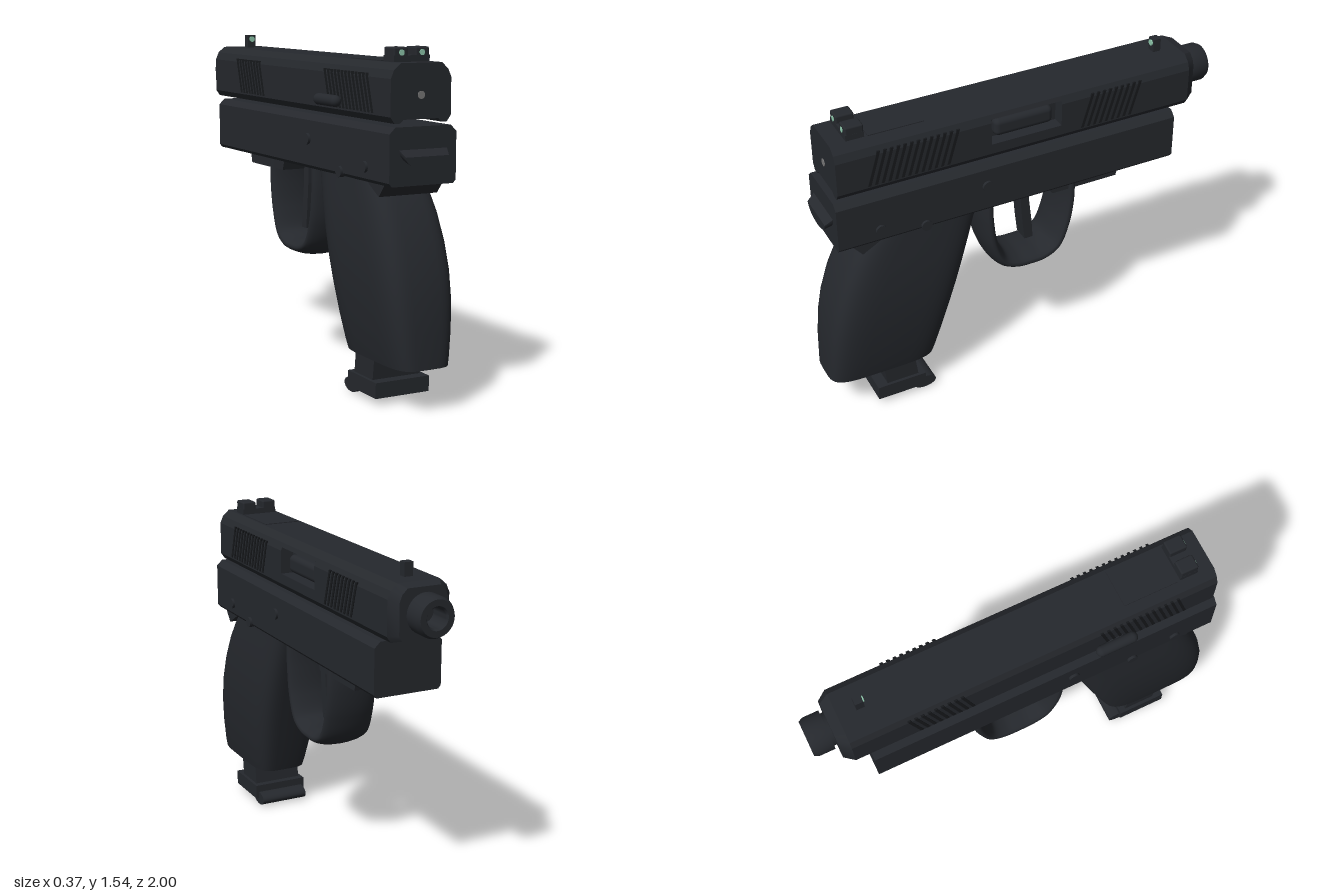
import * as THREE from 'three';
import { RoundedBoxGeometry } from 'three/addons/geometries/RoundedBoxGeometry.js';
import { toCreasedNormals } from 'three/addons/utils/BufferGeometryUtils.js';

const mat = (color) => new THREE.MeshStandardMaterial({ color });
const body = mat(0x25282d), dark = mat(0x17191c), green = mat(0x8fc9ac), grey = mat(0x777777);

export function createModel() {
  const model = new THREE.Group();
  model.position.x = 0.01;

  const add = (name, geometry, material = body, x = 0, y = 0, z = 0) => {
    const mesh = new THREE.Mesh(geometry, material);
    mesh.name = name;
    mesh.position.set(x, y, z);
    model.add(mesh);
    return mesh;
  };
  const shapeOf = (pts) => new THREE.Shape(pts.map(([a, b]) => new THREE.Vector2(a, b)));
  // cross-section in x,y swept from z0 up to z1
  const alongZ = (pts, z0, z1) =>
    new THREE.ExtrudeGeometry(shapeOf(pts), { depth: z1 - z0, bevelEnabled: false }).translate(0, 0, z0);
  // side profile in z,y swept across the given width in x
  const acrossX = (pts, width) =>
    new THREE.ExtrudeGeometry(shapeOf(pts), { depth: width, bevelEnabled: false })
      .translate(0, 0, -width / 2).rotateY(-Math.PI / 2);
  const mirrored = (half) => [...half, ...half.map(([x, y]) => [-x, y]).reverse()];
  // closed skin over rings of equal point count, with fan caps
  const loft = (rings) => {
    const n = rings[0].length, pos = rings.flat(2), idx = [];
    for (let r = 0; r < rings.length - 1; r++)
      for (let i = 0; i < n; i++) {
        const a = r * n + i, b = r * n + (i + 1) % n;
        idx.push(a, a + n, b, b, a + n, b + n);
      }
    const top = (rings.length - 1) * n;
    for (let i = 1; i < n - 1; i++) idx.push(0, i, i + 1, top, top + i + 1, top + i);
    const g = new THREE.BufferGeometry();
    g.setAttribute('position', new THREE.Float32BufferAttribute(pos, 3));
    g.setIndex(idx);
    return toCreasedNormals(g, 0.6);
  };

  // Slide: full section at the ends, notched section at the ejection port
  const right = [[0.085, 1.25], [0.1, 1.235], [0.128, 1.235], [0.147, 1.262]];
  const roof = [[0.147, 1.42], [0.132, 1.455], [0.1, 1.483]];
  const section = mirrored([...right, ...roof]);
  const notch = [[0.147, 1.31], [0.085, 1.31], [0.085, 1.435], [0.141, 1.435]];
  const portSection = [...right, ...notch, ...roof.slice(1),
    ...[...right, ...roof].map(([x, y]) => [-x, y]).reverse()];
  add('slideRear', alongZ(section, 0.18, 0.91));
  add('slidePort', alongZ(portSection, -0.17, 0.18));
  add('slideFront', alongZ(section, -0.84, -0.17));
  const noseRing = (s, z) => section.map(([x, y]) => [x * s, 1.36 + (y - 1.36) * (0.5 + s / 2), z]);
  add('slideNose', loft([noseRing(1, -0.84), noseRing(0.78, -0.885)]));
  add('chamber', new RoundedBoxGeometry(0.08, 0.085, 0.29, 3, 0.025), body, 0.085, 1.365, 0.005);
  add('topPlate', new THREE.BoxGeometry(0.18, 0.008, 0.26), body, 0, 1.483, 0.605);

  // Slanted grip ribs on both sides of the slide
  for (const side of [-1, 1])
    for (const [start, count] of [[0.77, 13], [-0.27, 9]])
      for (let i = 0; i < count; i++) {
        const z = start - i * 0.031;
        const rib = [[z, 1.27], [z - 0.05, 1.435], [z - 0.064, 1.435], [z - 0.014, 1.27]];
        add('slideRib', acrossX(rib.reverse(), 0.008), dark, side * 0.146);
      }

  // Barrel with hollow muzzle
  const barrel = [[0, 0.84], [0.075, 0.84], [0.075, 0.9], [0.09, 0.9], [0.09, 0.975],
    [0.08, 0.995], [0.052, 0.995], [0.045, 0.985], [0.045, 0.87], [0, 0.87]];
  add('barrel', toCreasedNormals(new THREE.LatheGeometry(
    barrel.map(([r, y]) => new THREE.Vector2(r, y)), 40).rotateX(-Math.PI / 2), 0.6), body, 0, 1.36);

  // Sights and their dots
  const dot = (name, r, material, x, y, z) =>
    add(name, new THREE.CylinderGeometry(r, r, 0.008, 20).rotateX(Math.PI / 2), material, x, y, z);
  add('rearSightBase', new THREE.BoxGeometry(0.175, 0.03, 0.085), body, 0, 1.495, 0.792);
  for (const side of [-1, 1]) {
    add('rearSightPost', new RoundedBoxGeometry(0.068, 0.06, 0.085, 2, 0.008), body, side * 0.053, 1.515, 0.792);
    dot('rearSightDot', 0.013, green, side * 0.05, 1.522, 0.833);
  }
  add('frontSight', new THREE.BoxGeometry(0.042, 0.07, 0.038), body, 0, 1.51, -0.737);
  dot('frontSightDot', 0.014, green, 0, 1.525, -0.716);
  dot('rearPin', 0.017, grey, 0, 1.35, 0.909);

  // Frame with chamfered upper edges
  add('frame', alongZ(mirrored([[0.15, 0.975], [0.163, 0.99], [0.163, 1.195], [0.135, 1.222]]), -0.765, 0.93));
  add('accessoryRail', acrossX([[-0.13, 0.98], [-0.15, 0.922], [-0.49, 0.922], [-0.505, 0.98]].reverse(), 0.22));

  // Half-moon wedges at the back of the frame
  const crescent = (w, h) => {
    const pts = [];
    for (let i = 0; i <= 16; i++) {
      const a = Math.PI + (i / 16) * Math.PI;
      pts.push([Math.cos(a) * w, Math.sin(a) * h]);
    }
    return pts;
  };
  const ringAt = (w, h, y, z) => crescent(w, h).map(([x, dy]) => [x, y + dy, z]);
  add('thumbRest', loft([ringAt(0.105, 0.055, 1.1, 0.965), ringAt(0.12, 0.08, 1.135, 0.92)]));
  const tail = [[0.87, 0.985], [0.815, 0.92], [0.7, 0.985]];
  add('gripTang', acrossX(tail.reverse(), 0.29));

  // Frame pins, showing on both sides
  for (const [z, y, r] of [[0.73, 1.04, 0.025], [0.515, 0.995, 0.025], [0.21, 1.11, 0.026]])
    add('framePin', new THREE.CylinderGeometry(r, r, 0.35, 24).rotateZ(Math.PI / 2), body, 0, y, z);
  add('sideLever', new THREE.CapsuleGeometry(0.026, 0.15, 6, 16).rotateX(Math.PI / 2), body, -0.172, 1.3, 0.41);
  add('leverStem', new THREE.BoxGeometry(0.05, 0.03, 0.08), body, -0.15, 1.3, 0.41);

  // Grip: rounded sections swept along a curved back; rows are y, back z, front z, half width
  const gripRows = [[0.2, 1.0, 0.47, 0.135], [0.24, 0.998, 0.457, 0.143], [0.35, 0.992, 0.423, 0.158],
    [0.48, 0.978, 0.383, 0.17], [0.6, 0.953, 0.346, 0.175], [0.72, 0.915, 0.309, 0.173],
    [0.84, 0.862, 0.272, 0.165], [0.93, 0.808, 0.244, 0.155], [0.985, 0.765, 0.227, 0.15]];
  const power = (v) => Math.sign(v) * Math.abs(v) ** 0.45;
  add('grip', loft(gripRows.map(([y, back, front, w]) => Array.from({ length: 48 }, (_, i) => {
    const a = (i / 48) * Math.PI * 2;
    return [w * power(Math.cos(a)), y, (back + front) / 2 + (back - front) / 2 * power(Math.sin(a))];
  }))));

  // Magazine below the grip
  add('magazine', acrossX([[0.75, 0.25], [0.695, 0.09], [0.535, 0.09], [0.59, 0.25]].map(
    ([z, y]) => [z + (y > 0.2 ? 0 : 0.035), y]).reverse(), 0.24));
  add('magazineBase', new THREE.BoxGeometry(0.27, 0.07, 0.245), body, 0, 0.07, 0.662);
  add('magazineLip', new THREE.CylinderGeometry(1, 1, 0.24, 32).rotateZ(Math.PI / 2)
    .scale(1, 0.032, 0.058), body, 0, 0.037, 0.54);

  // Trigger guard: a flattened tube, wide across x
  const guard = [[0.177, 1.0], [0.172, 0.85], [0.15, 0.71], [0.1, 0.605], [0.03, 0.572], [-0.04, 0.567],
    [-0.11, 0.572], [-0.18, 0.61], [-0.227, 0.72], [-0.25, 0.85], [-0.253, 1.0]];
  const guardPath = new THREE.CatmullRomCurve3(guard.map(([z, y]) => new THREE.Vector3(0, y, z)));
  add('triggerGuard', new THREE.TubeGeometry(guardPath, 64, 0.037, 20).scale(3.4, 1, 1));

  // Trigger: slim curved blade
  const trigger = [[-0.018, 0.99], [-0.02, 0.87], [-0.03, 0.75], [-0.042, 0.65],
    [-0.085, 0.65], [-0.078, 0.75], [-0.064, 0.87], [-0.06, 0.99]];
  add('trigger', acrossX(trigger, 0.08));

  return model;
}
